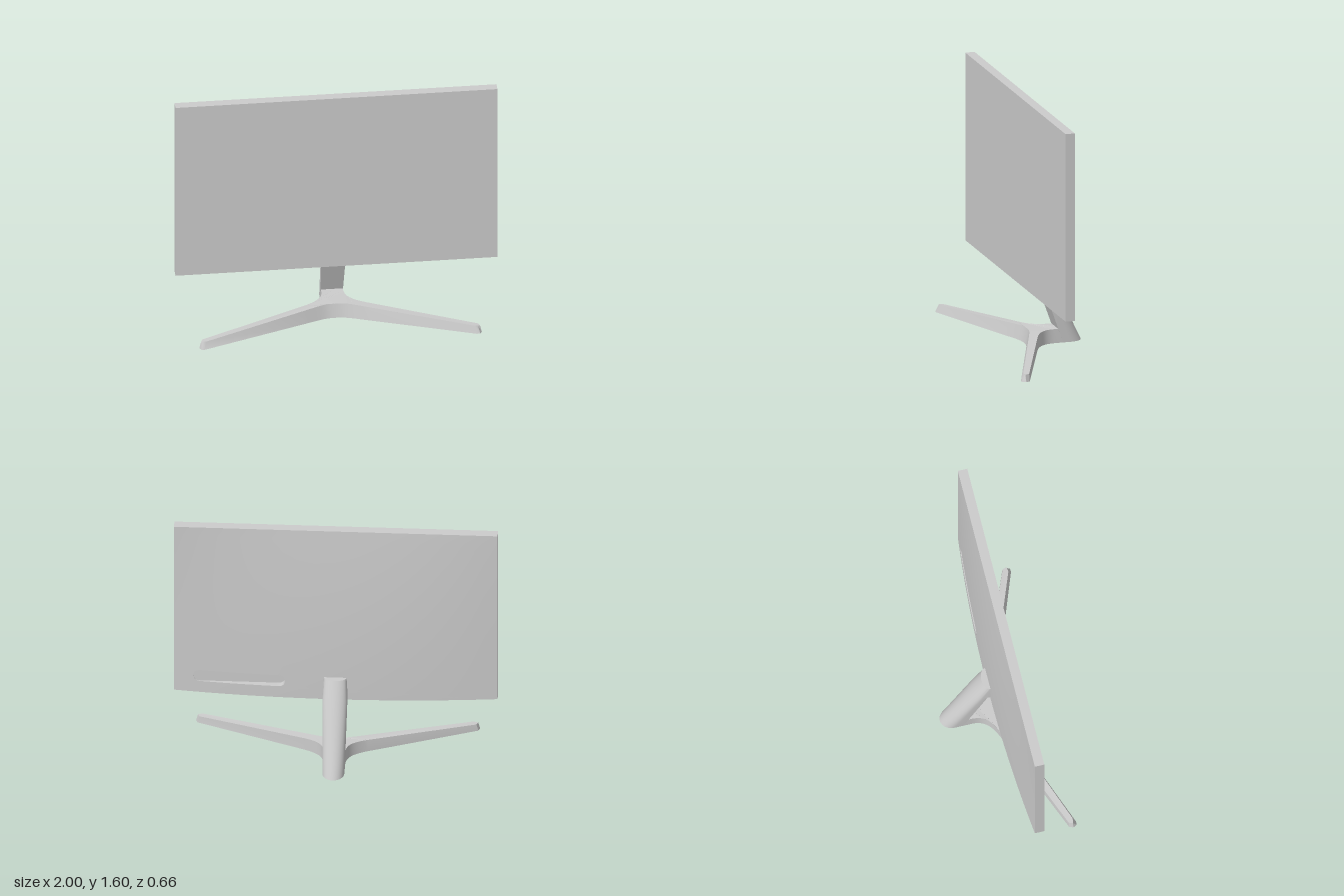
import * as THREE from 'three';
import { toCreasedNormals } from 'three/addons/utils/BufferGeometryUtils.js';

const material = new THREE.MeshStandardMaterial({ color: 0xcccccc });

function part(name, geometry, crease = 0.5) {
  geometry.deleteAttribute('normal');
  const mesh = new THREE.Mesh(toCreasedNormals(geometry, crease), material);
  mesh.name = name;
  return mesh;
}

// Skin a series of closed rings, skipping triangles that collapse to a point
function loft(rings) {
  const pos = [];
  const tri = (a, b, c) => {
    if (a.distanceTo(b) < 1e-6 || b.distanceTo(c) < 1e-6 || c.distanceTo(a) < 1e-6) return;
    for (const p of [a, b, c]) pos.push(p.x, p.y, p.z);
  };
  for (let i = 0; i < rings.length - 1; i++) {
    const r = rings[i], s = rings[i + 1], n = r.length;
    for (let j = 0; j < n; j++) {
      const k = (j + 1) % n;
      tri(r[j], r[k], s[k]);
      tri(r[j], s[k], s[j]);
    }
  }
  const g = new THREE.BufferGeometry();
  g.setAttribute('position', new THREE.Float32BufferAttribute(pos, 3));
  return g;
}

const collapse = (ring, p) => ring.map(() => p);

// Display: flat front, bowed back with a pill-shaped recess
function createDisplay() {
  const backZ = (x, y) => {
    const t = (1.6 - y) / 1.2;
    return 0.03 - 0.056 * (1 - x * x) * (1 - (1 - t) ** 2);
  };
  // Perimeter of a unit square, anticlockwise, denser near its corners
  const square = [];
  const perSide = 24;
  for (let side = 0; side < 4; side++) {
    for (let i = 0; i < perSide; i++) {
      const s = Math.sin((i / perSide - 0.5) * Math.PI);
      square.push([[s, -1], [1, s], [-s, 1], [-1, -s]][side]);
    }
  }
  const cx = 0.595, cy = 0.52, halfLength = 0.285, radius = 0.04;
  const core = halfLength - radius;
  const slot = square.map(([a, b]) => {
    const c = THREE.MathUtils.clamp(a * halfLength, -core, core);
    return new THREE.Vector2(a * halfLength - c, b * radius).setLength(radius).add(new THREE.Vector2(cx + c, cy));
  });
  const outer = square.map(([a, b]) => new THREE.Vector2(a, 1 + b * 0.6));

  const floorZ = 0.021;
  const floor = slot.map((p) => new THREE.Vector3(p.x, p.y, floorZ));
  const rings = [collapse(floor, new THREE.Vector3(cx, cy, floorZ)), floor];
  const steps = 16;
  for (let i = 0; i <= steps; i++) {
    rings.push(slot.map((p, j) => {
      const q = p.clone().lerp(outer[j], i / steps);
      return new THREE.Vector3(q.x, q.y, backZ(q.x, q.y));
    }));
  }
  const front = outer.map((p) => new THREE.Vector3(p.x, p.y, 0.09));
  rings.push(front, collapse(front, new THREE.Vector3(0, 1, 0.09)));
  return part('display', loft(rings));
}

// Neck: leaning column, flat in front and rounded behind
function createNeck() {
  // y, front z, half width
  const stations = [[0, -0.197, 0.068], [0.09, -0.165, 0.07], [0.43, -0.045, 0.077], [0.43, 0, 0.077], [0.56, 0, 0.07]];
  const rings = stations.map(([y, zFront, w]) => {
    const zBack = -0.33 + y * 0.473;
    const depth = 0.08 - y * 0.07;
    const ring = [new THREE.Vector3(-w, y, zFront), new THREE.Vector3(w, y, zFront)];
    for (let i = 0; i <= 18; i++) {
      const a = (i / 18) * Math.PI;
      ring.push(new THREE.Vector3(w * Math.cos(a), y, zBack + depth * (1 - Math.sin(a))));
    }
    return ring;
  });
  const last = rings.length - 1;
  rings.unshift(collapse(rings[0], new THREE.Vector3(0, 0, -0.26)));
  rings.push(collapse(rings[last + 1], new THREE.Vector3(0, 0.56, -0.02)));
  return part('neck', loft(rings));
}

// Base: two splayed legs blended into the foot of the neck
function createBase() {
  const shape = new THREE.Shape();
  shape.moveTo(-0.2, 0.09);
  shape.bezierCurveTo(-0.08, 0.044, -0.06, 0.035, 0, 0.035);
  shape.bezierCurveTo(0.06, 0.035, 0.08, 0.044, 0.2, 0.09);
  shape.lineTo(0.845, 0.33);
  shape.lineTo(0.865, 0.328);
  shape.lineTo(0.878, 0.305);
  shape.lineTo(0.868, 0.28);
  shape.lineTo(0.2, 0.012);
  shape.bezierCurveTo(0.1, -0.03, 0.07, -0.07, 0.068, -0.14);
  shape.lineTo(0.068, -0.21);
  shape.lineTo(-0.068, -0.21);
  shape.lineTo(-0.068, -0.14);
  shape.bezierCurveTo(-0.07, -0.07, -0.1, -0.03, -0.2, 0.012);
  shape.lineTo(-0.868, 0.28);
  shape.lineTo(-0.878, 0.305);
  shape.lineTo(-0.865, 0.328);
  shape.lineTo(-0.845, 0.33);
  shape.closePath();
  const g = new THREE.ExtrudeGeometry(shape, { depth: 1, bevelEnabled: false, curveSegments: 10 });
  g.rotateX(Math.PI / 2);

  // Taper the top towards the tips and lean the front and tip faces inwards
  const p = g.attributes.position;
  for (let i = 0; i < p.count; i++) {
    const x = p.getX(i), z = p.getZ(i), ax = Math.abs(x);
    if (p.getY(i) < -0.5) {
      p.setY(i, 0);
      continue;
    }
    p.setY(i, 0.09 - 0.045 * Math.max(0, ax - 0.08) / 0.79);
    if (z > 0.39 * ax - 0.03) p.setZ(i, z - 0.02);
    if (ax > 0.8) p.setX(i, x - Math.sign(x) * 0.012);
  }
  return part('base', g);
}

export function createModel() {
  const model = new THREE.Group();
  model.name = 'monitor';
  model.add(createDisplay(), createNeck(), createBase());
  return model;
}
